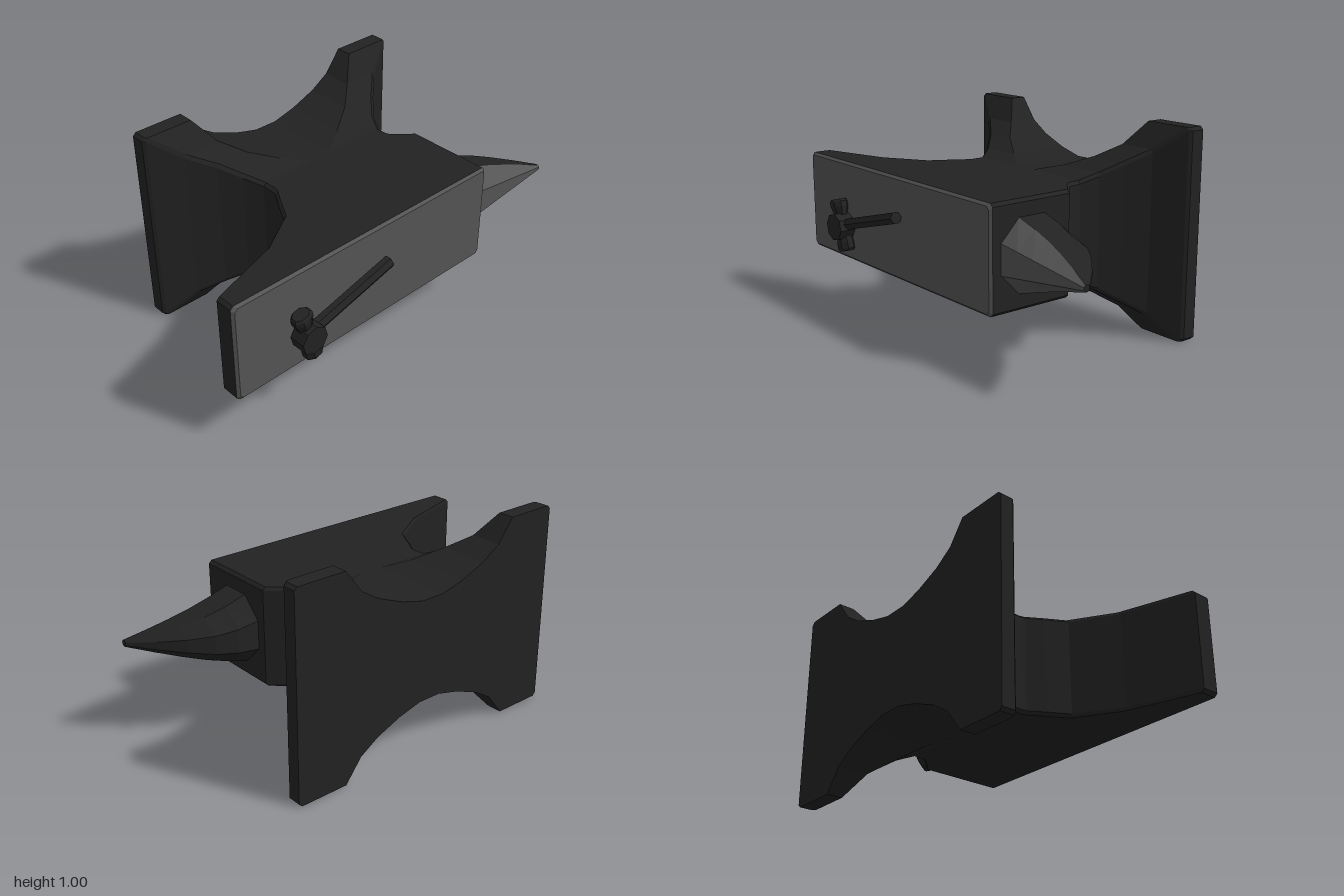
import * as THREE from 'three';

const darkIron = new THREE.MeshStandardMaterial({ color: 0x222222 });
const wornSteel = new THREE.MeshStandardMaterial({ color: 0x545454 });

function add(parent, name, geometry, material) {
  const g = geometry.index ? geometry.toNonIndexed() : geometry;
  g.computeVertexNormals(); // unshared corners give flat facets
  const mesh = new THREE.Mesh(g, material);
  mesh.name = name;
  parent.add(mesh);
  return mesh;
}

// Skin closed rings of equal point count; caps rely on point i mirroring point n-1-i
function loft(rings, { startCap = false, endCap = false, sides = () => true } = {}) {
  const pos = [];
  const tri = (...pts) => pts.forEach((p) => pos.push(...p));
  const n = rings[0].length;
  for (let r = 0; r < rings.length - 1; r++) {
    for (let j = 0; j < n; j++) {
      if (!sides(j)) continue;
      const k = (j + 1) % n;
      const [a, b, c, d] = [rings[r][j], rings[r][k], rings[r + 1][k], rings[r + 1][j]];
      tri(a, b, c);
      tri(a, c, d);
    }
  }
  const cap = (ring, flip) => {
    for (let i = 0; i < n / 2 - 1; i++) {
      const [a, b, c, d] = [ring[i], ring[n - 1 - i], ring[n - 2 - i], ring[i + 1]];
      if (flip) { tri(a, c, b); tri(a, d, c); } else { tri(a, b, c); tri(a, c, d); }
    }
  };
  if (startCap) cap(rings[0], false);
  if (endCap) cap(rings[rings.length - 1], true);
  const g = new THREE.BufferGeometry();
  g.setAttribute('position', new THREE.Float32BufferAttribute(pos, 3));
  return g;
}

// Arched notch between the feet: distance from the middle and half width there
const NOTCH = [[0.06, 0.247], [0.18, 0.278], [0.31, 0.33], [0.405, 0.39], [0.49, 0.5]];

// Cross-section of the anvil at depth z; level says how far the notch has opened
function section(z, x0, x1, level, inset = 0) {
  const c = 0.015;
  const half = NOTCH[level][1] - inset;
  const mid = NOTCH.map((p, i) => {
    const q = NOTCH[Math.min(i, level)];
    return [q[0], q[1] - inset];
  });
  const top = [
    [x0 + inset, half - c], [x0 + inset + c, half],
    ...mid.map(([x, y]) => [-x, y]).reverse(), ...mid,
    [x1 - inset - c, half], [x1 - inset, half - c],
  ];
  return [
    ...top.map(([x, y]) => [x, 0.5 + y, z]),
    ...top.map(([x, y]) => [x, 0.5 - y, z]).reverse(),
  ];
}

function buildBody(parent) {
  const rings = [
    [0.457, -1, 0.495, 0, 0.012], [0.445, -1, 0.495, 0], [0.36, -1, 0.495, 0],
    [0.25, -0.655, 0.495, 0], [0.12, -0.45, 0.495, 0], [0.02, -0.395, 0.495, 0],
    [-0.055, -0.35, 0.41, 0], [-0.075, -0.345, 0.395, 0], [-0.14, -0.345, 0.39, 0],
    [-0.22, -0.4, 0.43, 1], [-0.3, -0.48, 0.505, 2], [-0.385, -0.595, 0.595, 3],
    [-0.462, -0.735, 0.735, 4], [-0.475, -0.747, 0.747, 4], [-0.541, -0.747, 0.747, 4],
  ].map((r) => section(...r));
  add(parent, 'strikingFace', loft(rings.slice(0, 2), { startCap: true }), wornSteel);
  add(parent, 'bodyAndFeet', loft(rings.slice(1), { endCap: true }), darkIron);
}

// Eight-sided horn: straight along the face, curving in from behind to the tip
function buildHorn(parent) {
  const front = 0.4;
  const rings = [[0.49, 0.065], [0.6, 0.068], [0.7, 0.1], [0.8, 0.17], [0.9, 0.262], [1, 0.37]]
    .map(([x, back]) => {
      const h = THREE.MathUtils.mapLinear(x, 0.49, 1, 0.17, 0.015);
      const d = front - back;
      const top = [[0, 0.42], [0.29, 1], [0.71, 1], [1, 0.42]];
      return [
        ...top.map(([t, s]) => [x, 0.5 + h * s, back + d * t]),
        ...top.map(([t, s]) => [x, 0.5 - h * s, back + d * t]).reverse(),
      ];
    });
  const isFront = (j) => j >= 2 && j <= 4;
  add(parent, 'hornFront', loft(rings, { sides: isFront }), wornSteel);
  add(parent, 'hornBack', loft(rings, { endCap: true, sides: (j) => !isFront(j) }), darkIron);
}

// Small hammer resting against the striking face
function buildHammer(parent) {
  const hammer = new THREE.Group();
  hammer.name = 'hammer';
  hammer.position.set(-0.65, 0.435, 0.49);
  hammer.rotation.z = THREE.MathUtils.degToRad(15);
  parent.add(hammer);

  const handle = new THREE.CylinderGeometry(0.03, 0.03, 0.49, 6);
  handle.rotateZ(-Math.PI / 2);
  handle.translate(0.255, 0, -0.002);
  add(hammer, 'handle', handle, darkIron);

  const profile = [
    [0, -0.13], [0.04, -0.13], [0.05, -0.118], [0.05, -0.085], [0.042, -0.055],
    [0.038, 0.05], [0.052, 0.095], [0.052, 0.118], [0.042, 0.13], [0, 0.13],
  ].map(([r, y]) => new THREE.Vector2(r, y));
  const head = new THREE.LatheGeometry(profile, 8);
  head.rotateY(Math.PI / 8);
  head.scale(1, 1, 0.8);
  add(hammer, 'head', head, darkIron);

  // Chamfered block around the handle hole
  const block = new THREE.CylinderGeometry(0.072, 0.072, 0.08, 8);
  block.rotateX(Math.PI / 2);
  block.rotateZ(Math.PI / 8);
  block.scale(0.95, 0.95, 1);
  block.translate(0, -0.005, 0.011);
  add(hammer, 'headBlock', block, darkIron);
}

export function createModel() {
  const model = new THREE.Group();
  model.name = 'anvil';
  buildBody(model);
  buildHorn(model);
  buildHammer(model);
  return model;
}
